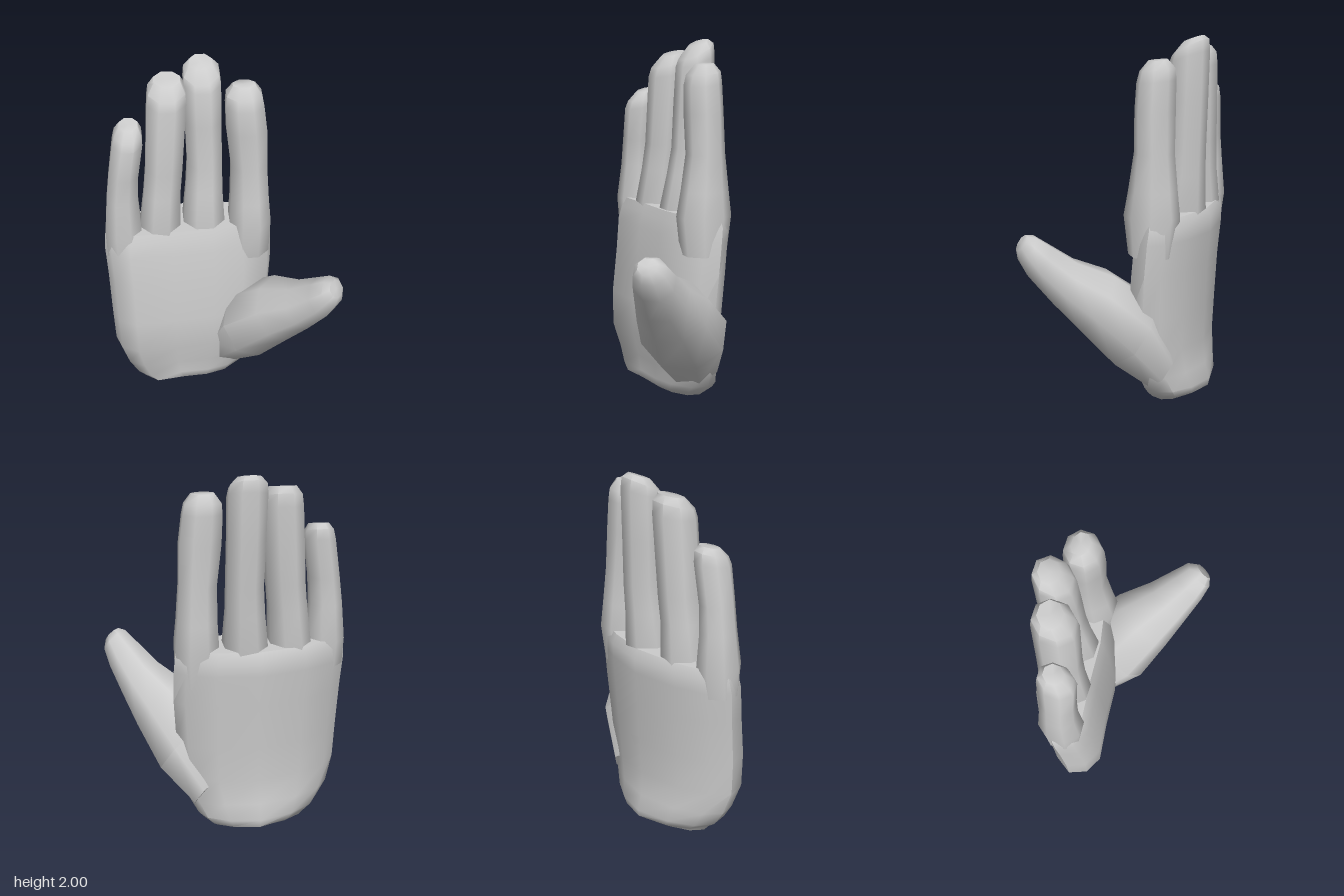
import * as THREE from 'three';
import { toCreasedNormals } from 'three/addons/utils/BufferGeometryUtils.js';

const skin = new THREE.MeshStandardMaterial({ color: 0xcccccc });

// Skin a stack of equal-length rings of Vector3 and close both ends
function loft(name, rings) {
  const n = rings[0].length, pos = [], idx = [];
  rings.forEach(r => r.forEach(p => pos.push(p.x, p.y, p.z)));
  const centre = r => {
    const c = r.reduce((s, p) => s.add(p), new THREE.Vector3()).divideScalar(n);
    pos.push(c.x, c.y, c.z);
    return pos.length / 3 - 1;
  };
  const last = (rings.length - 1) * n;
  const bottom = centre(rings[0]), top = centre(rings[rings.length - 1]);
  for (let j = 0; j < n; j++) {
    const k = (j + 1) % n;
    for (let i = 0; i < last; i += n) {
      idx.push(i + j, i + n + j, i + k, i + k, i + n + j, i + n + k);
    }
    idx.push(j, k, bottom, last + j, top, last + k);
  }
  const geo = new THREE.BufferGeometry();
  geo.setAttribute('position', new THREE.Float32BufferAttribute(pos, 3));
  geo.setIndex(idx);
  const mesh = new THREE.Mesh(toCreasedNormals(geo, 0.95), skin);
  mesh.name = name;
  return mesh;
}

// Eight-sided digit; each station is [x, y, z, half width, half depth, tip slant]
function digit(name, stations, u, t) {
  const w = new THREE.Vector3().crossVectors(u, t);
  const grow = 1 / Math.cos(Math.PI / 8);
  return loft(name, stations.map(([x, y, z, a, b, slant = 0]) =>
    Array.from({ length: 8 }, (_, j) => {
      const q = (j + 0.5) * Math.PI / 4;
      const du = -Math.cos(q) * a * grow, dw = -Math.sin(q) * b * grow;
      return new THREE.Vector3(x, y, z)
        .addScaledVector(u, du).addScaledVector(w, dw).addScaledVector(t, -slant * dw);
    })));
}

// Palm outline: fraction across the width, fraction from back to front
const OUTLINE = [
  [0, .62], [.08, .38], [.26, .16], [.53, 0], [.77, .06], [.94, .2], [1, .38],
  [.97, .62], [.82, .82], [.64, .91], [.4, .94], [.15, 1], [.04, .87],
];
// Palm levels: y, right edge, left edge, back z, front z
const LEVELS = [
  [0, -.45, .1, -.33, -.05], [.03, -.47, .13, -.385, 0], [.07, -.52, .17, -.39, .005],
  [.16, -.575, .22, -.365, .01], [.3, -.615, .27, -.355, .045], [.5, -.625, .285, -.365, .045],
  [.75, -.635, .3, -.375, .015], [.93, -.647, .298, -.388, -.005], [1.01, -.64, .292, -.39, -.025],
  [1.06, -.62, .28, -.365, -.045],
];

const FINGERS = {
  littleFinger: [
    [-.53, .9, -.14, .1, .1], [-.535, 1.05, -.145, .1, .115], [-.533, 1.25, -.15, .085, .095],
    [-.52, 1.4, -.15, .08, .09], [-.49, 1.6, -.155, .08, .095, .2],
    [-.485, 1.65, -.16, .072, .085, .3], [-.48, 1.69, -.17, .05, .05, .25],
  ],
  ringFinger: [
    [-.33, .9, -.19, .1, .12], [-.33, 1.06, -.19, .11, .135], [-.315, 1.25, -.2, .1, .115],
    [-.3, 1.4, -.21, .1, .11], [-.275, 1.8, -.22, .104, .11, .2],
    [-.272, 1.86, -.225, .098, .1, .3], [-.268, 1.91, -.24, .07, .06, .25],
  ],
  middleFinger: [
    [-.09, .9, -.22, .1, .13], [-.085, 1.06, -.225, .115, .14], [-.08, 1.25, -.245, .1, .12],
    [-.075, 1.4, -.26, .095, .11], [-.08, 1.65, -.27, .097, .105],
    [-.083, 1.88, -.28, .1, .1, .35], [-.085, 1.93, -.285, .093, .09, .5],
    [-.087, 1.975, -.3, .06, .05, .4],
  ],
  indexFinger: [
    [.17, .85, -.2, .11, .12], [.172, 1.06, -.2, .115, .145], [.17, 1.2, -.205, .105, .125],
    [.165, 1.4, -.21, .098, .1], [.15, 1.62, -.205, .108, .098],
    [.138, 1.77, -.205, .102, .095, .1], [.135, 1.83, -.21, .094, .085, .1],
    [.135, 1.88, -.215, .06, .045, .05],
  ],
};

const THUMB = [
  [.07, .2, -.18, .16, .13], [.19, .42, -.07, .23, .2], [.33, .6, .07, .19, .17],
  [.44, .715, .19, .14, .125], [.525, .83, .28, .107, .1],
  [.57, .905, .327, .085, .075], [.585, .935, .35, .05, .045],
];

export function createModel() {
  const hand = new THREE.Group();
  hand.name = 'hand';

  hand.add(loft('palm', LEVELS.map(([y, x0, x1, z0, z1]) =>
    OUTLINE.map(([s, d]) => new THREE.Vector3(x0 + s * (x1 - x0), y, z0 + d * (z1 - z0))))));

  // Upright fingers
  const across = new THREE.Vector3(1, 0, 0), up = new THREE.Vector3(0, 1, 0);
  for (const [name, stations] of Object.entries(FINGERS)) {
    hand.add(digit(name, stations, across, up));
  }

  // Thumb reaches forward, up and to the left
  const thumbAcross = new THREE.Vector3(.65, 0, -.76).normalize();
  const thumbAxis = new THREE.Vector3(.62, .57, .53).normalize();
  hand.add(digit('thumb', THUMB, thumbAcross, thumbAxis));

  return hand;
}
